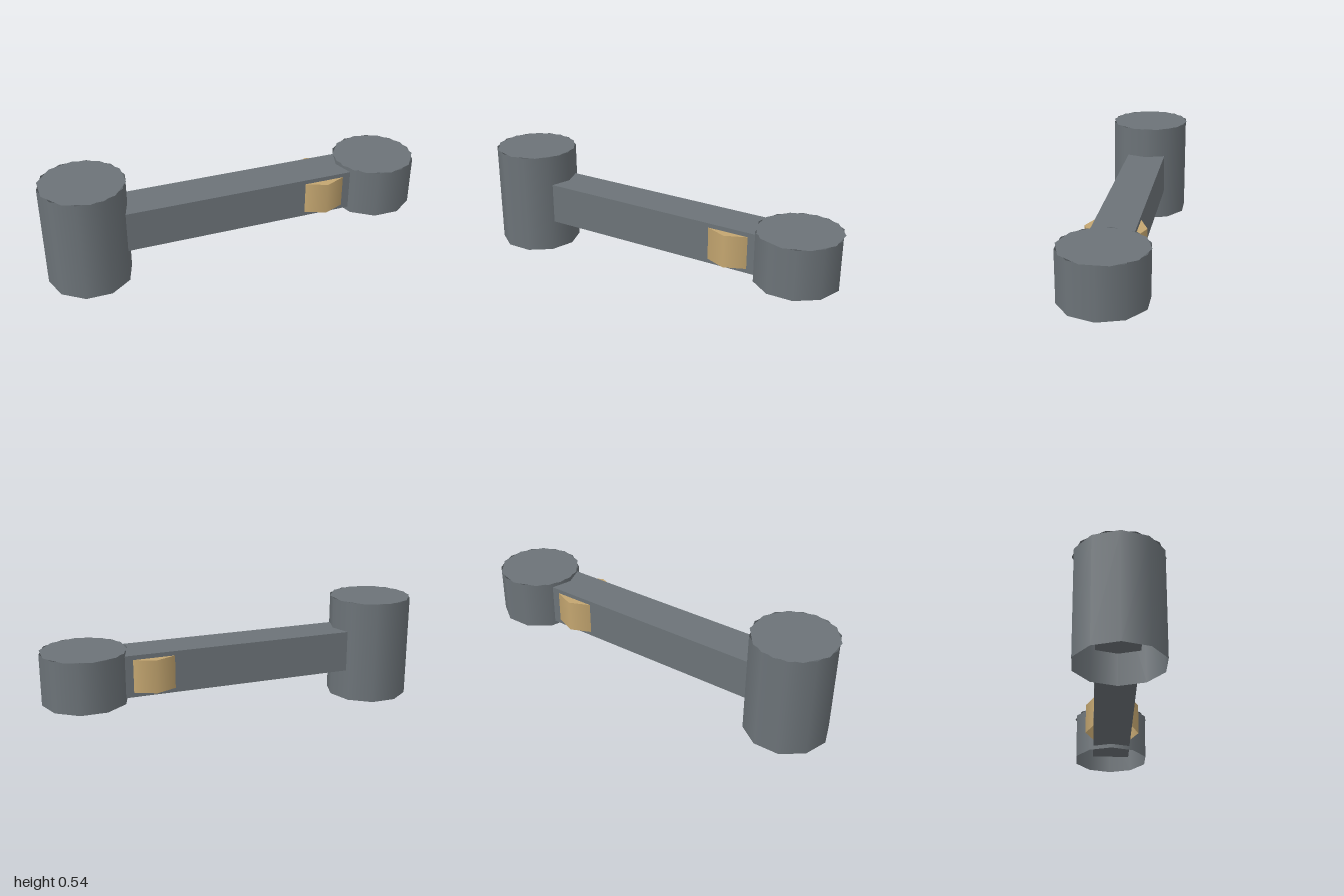
import * as THREE from 'three';
import { mergeGeometries } from 'three/addons/utils/BufferGeometryUtils.js';

export function createModel() {
  const group = new THREE.Group();
  const grey = new THREE.MeshStandardMaterial({ color: 0x6c7378, side: THREE.DoubleSide });
  grey.name = 'steelGrey';
  const brass = new THREE.MeshStandardMaterial({ color: 0xc4a670, side: THREE.DoubleSide });
  brass.name = 'brass';
  const midY = 0.27;

  const add = (name, geometry, material, x) => {
    const mesh = new THREE.Mesh(geometry, material);
    mesh.name = name;
    mesh.position.set(x, midY, 0);
    group.add(mesh);
  };

  // Smooth-sided socket: closed on top, open underneath
  const socket = (radius, height, sides, turn) => {
    const wall = new THREE.CylinderGeometry(radius, radius, height, sides, 1, true, turn);
    const cap = new THREE.CircleGeometry(radius, sides, turn);
    cap.rotateX(-Math.PI / 2).translate(0, height / 2, 0);
    return mergeGeometries([wall, cap]);
  };

  // Ten-sided end sockets, with corners pointing along x
  add('tallSocket', socket(0.215, 0.54, 10, Math.PI / 2), grey, -0.785);
  add('shortSocket', socket(0.215, 0.26, 10, Math.PI / 2), grey, 0.785);

  // Bar running between the socket centres
  add('linkBar', new THREE.BoxGeometry(1.57, 0.215, 0.21), grey, 0);

  // Eight-sided pin showing on both sides of the bar
  add('brassPin', socket(0.15, 0.17, 8, 0), brass, 0.457);

  return group;
}
